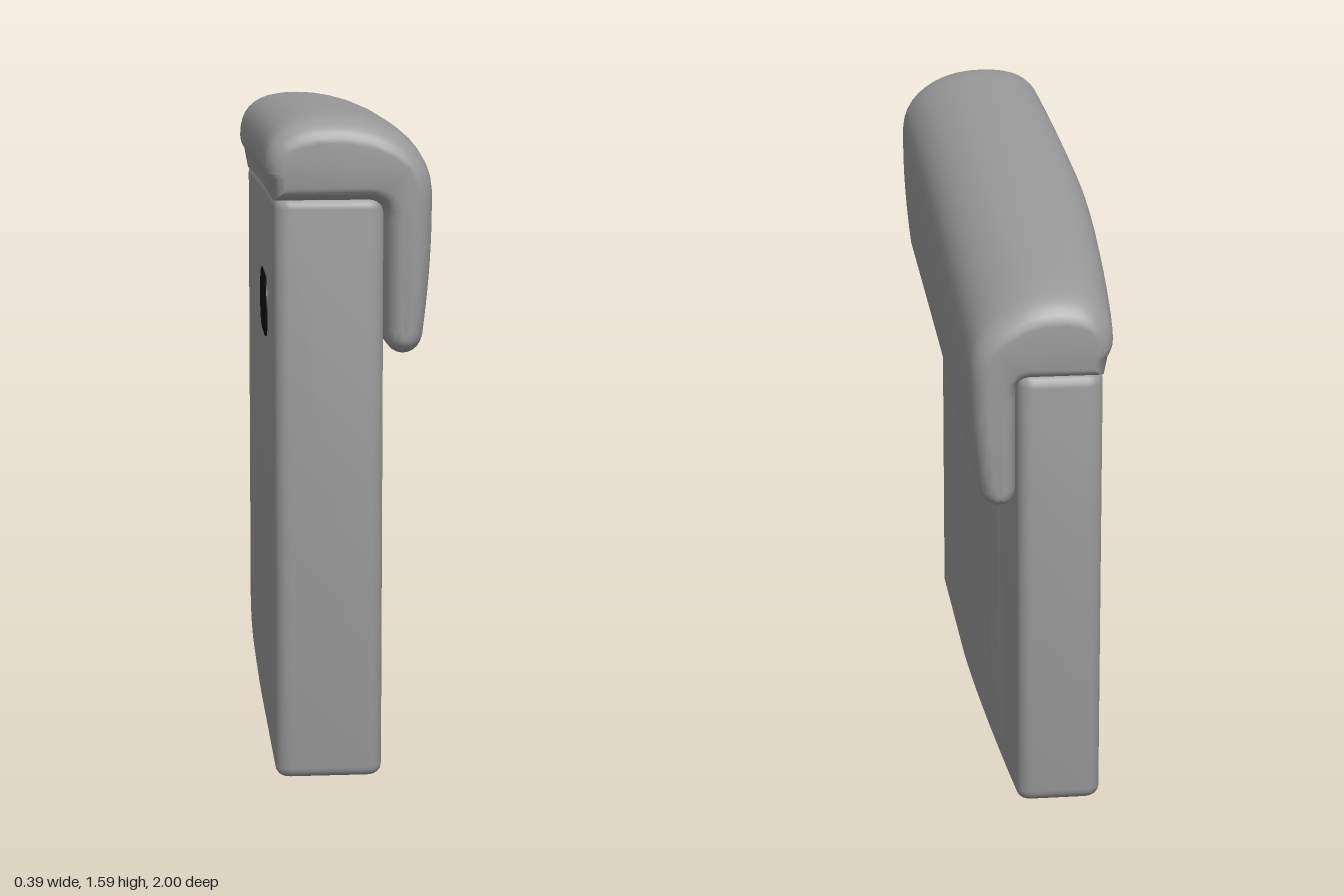
import * as THREE from 'three';
import { toCreasedNormals } from 'three/addons/utils/BufferGeometryUtils.js';

const clamp = THREE.MathUtils.clamp;

// long-side and edge curves, all as functions of z
const taper = z => (z < 0 ? 0.06 * Math.pow(-z, 1.6) : 0);
const bottomY = z => (z < 0.35 ? 0.12 * Math.pow(0.35 - z, 1.3) : 0);
const topDrop = z => { const d = Math.max(0, 1 - z); return 0.02 * d + 0.031 * d * d; };

// moves every vertex by a rule, then smooths the normals
function reshape(geometry, rule) {
  const p = geometry.attributes.position;
  const v = new THREE.Vector3();
  for (let i = 0; i < p.count; i++) {
    v.fromBufferAttribute(p, i);
    rule(v);
    p.setXYZ(i, v.x, v.y, v.z);
  }
  return toCreasedNormals(geometry, 0.6);
}

// upright slab: rounded plan outline raised vertically, then curved top and bottom
function panelGeometry() {
  const front = 0.96, back = -0.98, r = 0.035, b = 0.025;
  const zs = [];
  for (let i = 0; i <= 5; i++) zs.push(front - r * (1 - Math.cos(i / 5 * Math.PI / 2)));
  for (let i = 1; i < 28; i++) zs.push(front - r + (back - front + 2 * r) * i / 28);
  for (let i = 5; i >= 0; i--) zs.push(back + r * (1 - Math.cos(i / 5 * Math.PI / 2)));
  const inset = z => {
    const e = Math.min(front - z, z - back);
    return e >= r ? 0 : r - Math.sqrt(Math.max(0, r * r - (r - e) ** 2));
  };
  const right = zs.map(z => new THREE.Vector2(0.08 - inset(z), -z));
  const left = zs.map(z => new THREE.Vector2(-0.175 + taper(z) + inset(z), -z)).reverse();
  const g = new THREE.ExtrudeGeometry(new THREE.Shape([...right, ...left]), {
    depth: 1, bevelEnabled: true, bevelSize: b, bevelThickness: b, bevelOffset: -b, bevelSegments: 4,
  });
  g.rotateX(-Math.PI / 2);
  return reshape(g, v => {
    v.y = v.y < 0.5 ? bottomY(v.z) + v.y + b : 1.4 - topDrop(v.z) - (1 + b - v.y);
  });
}

// padded hook-shaped cover: section in x-y swept along z
function coverGeometry() {
  const s = new THREE.Shape();
  s.moveTo(-0.178, 1.395);
  s.lineTo(0.04, 1.395);
  s.quadraticCurveTo(0.08, 1.395, 0.08, 1.35);
  s.lineTo(0.08, 1.09);
  s.bezierCurveTo(0.08, 1.02, 0.16, 1.02, 0.17, 1.08);
  s.bezierCurveTo(0.185, 1.2, 0.192, 1.3, 0.19, 1.42);
  s.bezierCurveTo(0.185, 1.53, 0.09, 1.595, -0.04, 1.595);
  s.bezierCurveTo(-0.15, 1.595, -0.198, 1.56, -0.198, 1.48);
  s.quadraticCurveTo(-0.198, 1.46, -0.187, 1.445);
  const g = new THREE.ExtrudeGeometry(s, {
    depth: 1.88, steps: 28, curveSegments: 10, bevelEnabled: true,
    bevelSize: 0.038, bevelThickness: 0.06, bevelOffset: -0.038, bevelSegments: 6,
  });
  g.translate(0, 0, -0.94);
  return reshape(g, v => {
    const end = clamp((Math.abs(v.z) - 0.86) / 0.14, 0, 1);
    const high = clamp((v.y - 1.4) / 0.15, 0, 1);
    const t = clamp((v.y - 1.03) / 0.37, 0, 1);
    v.x += taper(v.z) * clamp((0.1 - v.x) / 0.27, 0, 1);
    v.y -= t * topDrop(v.z) + (1 - t) * 0.055 * (1 - v.z) + 0.025 * end * end * high;
  });
}

// dark stadium-shaped grip opening
function gripGeometry() {
  const r = 0.075, half = 0.06;
  const s = new THREE.Shape();
  s.absarc(half, 0, r, -Math.PI / 2, Math.PI / 2);
  s.absarc(-half, 0, r, Math.PI / 2, Math.PI * 1.5);
  const g = new THREE.ExtrudeGeometry(s, { depth: 0.006, bevelEnabled: false, curveSegments: 16 });
  g.rotateY(-Math.PI / 2);
  return g;
}

export function createModel() {
  const grey = new THREE.MeshStandardMaterial({ color: 0x999999 });
  grey.name = 'grey';
  const black = new THREE.MeshStandardMaterial({ color: 0x101010 });
  black.name = 'black';

  const group = new THREE.Group();
  group.name = 'paddedPanel';
  const add = (name, geometry, material) => {
    const mesh = new THREE.Mesh(geometry, material);
    mesh.name = name;
    group.add(mesh);
    return mesh;
  };
  add('panel', panelGeometry(), grey);
  add('cover', coverGeometry(), grey);
  add('gripOpening', gripGeometry(), black).position.set(-0.172, 1.09, 0.55);
  return group;
}
